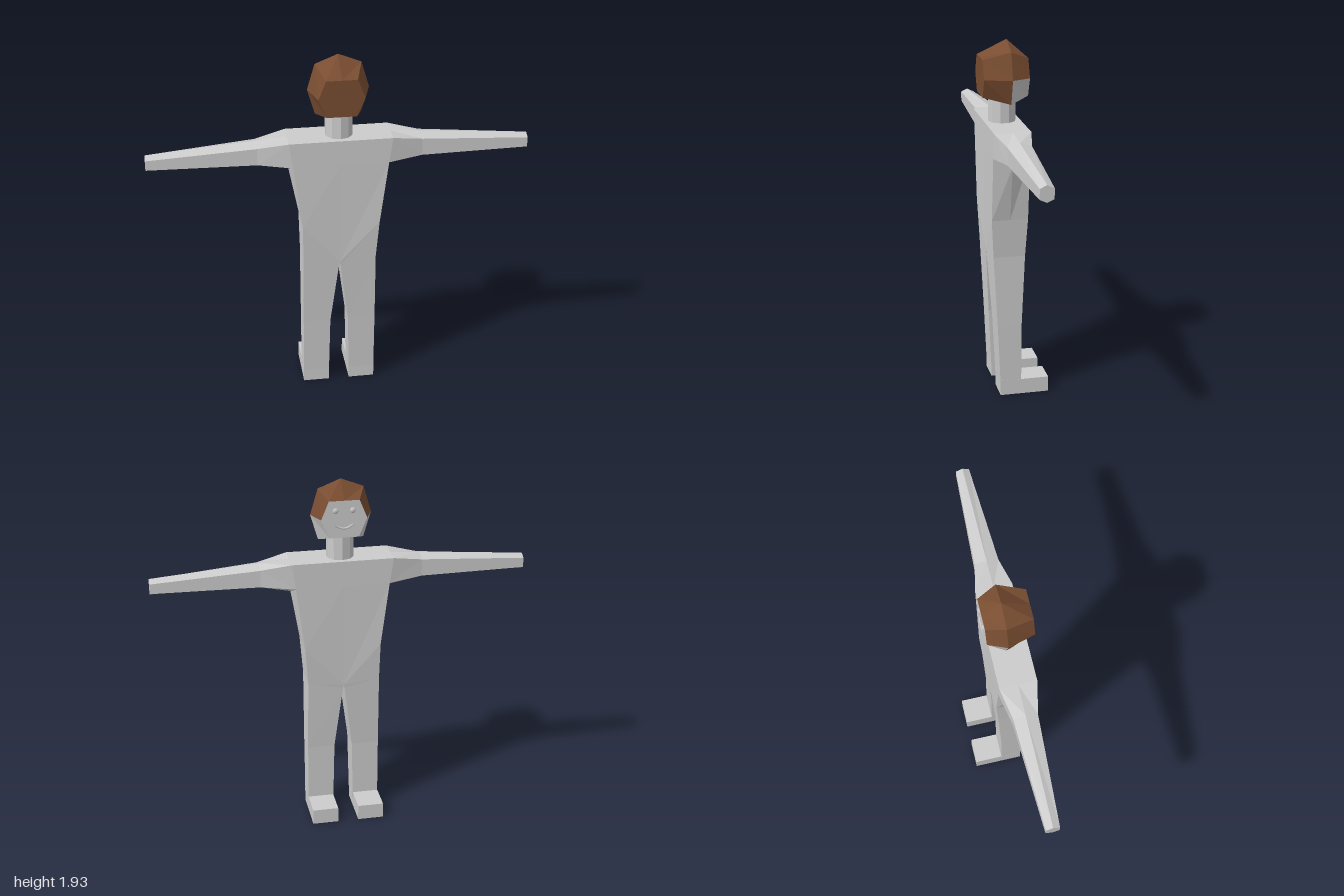
import * as THREE from 'three';

const grey = new THREE.MeshStandardMaterial({ color: 0xcccccc });
grey.name = 'plain grey';
const brown = new THREE.MeshStandardMaterial({ color: 0x794d31 });
brown.name = 'hair brown';

// Faceted skin over a list of equal rings; pick(segment, side) returns a material index.
// Segment -1 is the first cap, segment rings.length - 1 the last cap.
function loft(rings, pick = () => 0) {
  const buckets = [[], []];
  const mean = (pts) => pts.reduce((s, p) => s.add(p), new THREE.Vector3()).divideScalar(pts.length);
  const R = rings.map((r) => r.map((p) => new THREE.Vector3(...p)));
  const tri = (a, b, c, inside, m) => {
    const normal = b.clone().sub(a).cross(c.clone().sub(a));
    if (normal.lengthSq() < 1e-14) return;
    const out = mean([a, b, c]).sub(inside);
    const pts = normal.dot(out) > 0 ? [a, b, c] : [a, c, b];
    for (const p of pts) buckets[m].push(p.x, p.y, p.z);
  };
  const n = R[0].length;
  for (let i = 0; i < R.length - 1; i++) {
    const inside = mean([...R[i], ...R[i + 1]]);
    for (let j = 0; j < n; j++) {
      const k = (j + 1) % n, m = pick(i, j);
      tri(R[i][j], R[i][k], R[i + 1][k], inside, m);
      tri(R[i][j], R[i + 1][k], R[i + 1][j], inside, m);
    }
  }
  const last = R.length - 1;
  for (let j = 1; j < n - 1; j++) {
    tri(R[0][0], R[0][j], R[0][j + 1], mean(R[1]), pick(-1, j));
    tri(R[last][0], R[last][j], R[last][j + 1], mean(R[last - 1]), pick(last, j));
  }
  const g = new THREE.BufferGeometry();
  g.setAttribute('position', new THREE.Float32BufferAttribute(buckets.flat(), 3));
  g.addGroup(0, buckets[0].length / 3, 0);
  g.addGroup(buckets[0].length / 3, buckets[1].length / 3, 1);
  g.computeVertexNormals();
  return g;
}

export function createModel() {
  const model = new THREE.Group();
  model.name = 'figure';
  const add = (name, geometry, material = grey) => {
    const mesh = new THREE.Mesh(geometry, material);
    mesh.name = name;
    model.add(mesh);
    return mesh;
  };
  const F = 0.148, B = -0.046, M = 0.05; // chest, back and middle depth
  const offset = -0.006;                 // slight sideways shift of the legs

  // Torso, with a V-shaped lower end between the legs
  const band = (x, y, xm, ym, yc, f, b) => [
    [offset, yc, f], [x, y, F], [xm, ym, M], [x, y, B],
    [offset, yc, b], [-x, y, B], [-xm, ym, M], [-x, y, F],
  ];
  add('torso', loft([
    band(0.205, 1.01, 0.205, 1.01, 0.78, 0.138, -0.036),
    band(0.25, 1.36, 0.265, 1.315, 1.36, F, B),
    band(0.27, 1.497, 0.27, 1.497, 1.497, F, B),
  ]));

  for (const s of [1, -1]) {
    const side = s > 0 ? 'left' : 'right';

    // Arm: six-sided, running out to a blunt hand end
    const ring = (x, top, hi, lo, low, f, b) => [
      [s * x, top, M], [s * x, hi, f], [s * x, lo, f],
      [s * x, low, M], [s * x, lo, b], [s * x, hi, b],
    ];
    const shoulder = ring(0.27, 1.497, 1.497, 1.36, 1.315, F, B);
    shoulder[2][0] = shoulder[4][0] = s * 0.25;
    shoulder[3][0] = s * 0.265;
    add(side + 'Arm', loft([
      shoulder,
      ring(0.43, 1.485, 1.466, 1.374, 1.358, 0.113, -0.013),
      ring(1, 1.44, 1.423, 1.37, 1.354, 0.085, 0.014),
    ]));

    // Leg
    const leg = (xi, yi, xo, yo, f, b, fi = f, bi = b) => [
      [s * xi + offset, yi, fi], [s * xo + offset, yo, f],
      [s * xo + offset, yo, b], [s * xi + offset, yi, bi],
    ];
    const top = leg(0, 0.78, 0.205, 1.01, F, B, 0.138, -0.036);
    top[1][0] = top[2][0] = s * 0.205;
    add(side + 'Leg', loft([
      leg(0.057, 0, 0.197, 0, 0.097, -0.014),
      leg(0.049, 0.4, 0.197, 0.4, 0.115, -0.016),
      leg(0.004, 0.76, 0.195, 0.8, 0.136, -0.034),
      top,
    ]));

    // Foot
    const foot = add(side + 'Foot', new THREE.BoxGeometry(0.141, 0.085, 0.266));
    foot.position.set(s * 0.127 + offset, 0.0425, -0.033);
  }

  // Neck
  const neck = add('neck', new THREE.CylinderGeometry(0.073, 0.073, 0.15, 10).toNonIndexed());
  neck.geometry.computeVertexNormals();
  neck.position.set(0, 1.57, M);

  // Head: hair over the crown and back, bare face toward -z
  const skull = (z, apex, xt, yt, xm, xb, yb) => [
    [0, apex, z], [xt, yt, z], [xm, 1.74, z], [xb, yb, z],
    [-xb, yb, z], [-xm, 1.74, z], [-xt, yt, z],
  ];
  add('head', loft([
    skull(0.167, 1.838, 0.08, 1.838, 0.12, 0.077, 1.64),
    skull(0.025, 1.926, 0.12, 1.878, 0.16, 0.12, 1.605),
    skull(-0.073, 1.838, 0.08, 1.838, 0.12, 0.077, 1.64),
  ], (i, j) => (i === 2 || (i === 1 && j >= 2 && j <= 4) ? 0 : 1)), [grey, brown]);

  // Eyes and smiling mouth
  for (const x of [0.045, -0.045]) {
    const eye = add('eye', new THREE.SphereGeometry(0.015, 12, 8));
    eye.scale.z = 0.5;
    eye.position.set(x, 1.785, -0.073);
  }
  const smile = new THREE.QuadraticBezierCurve3(
    new THREE.Vector3(-0.045, 1.71, -0.073),
    new THREE.Vector3(0, 1.67, -0.073),
    new THREE.Vector3(0.045, 1.71, -0.073));
  add('mouth', new THREE.TubeGeometry(smile, 10, 0.006, 6));

  return model;
}
